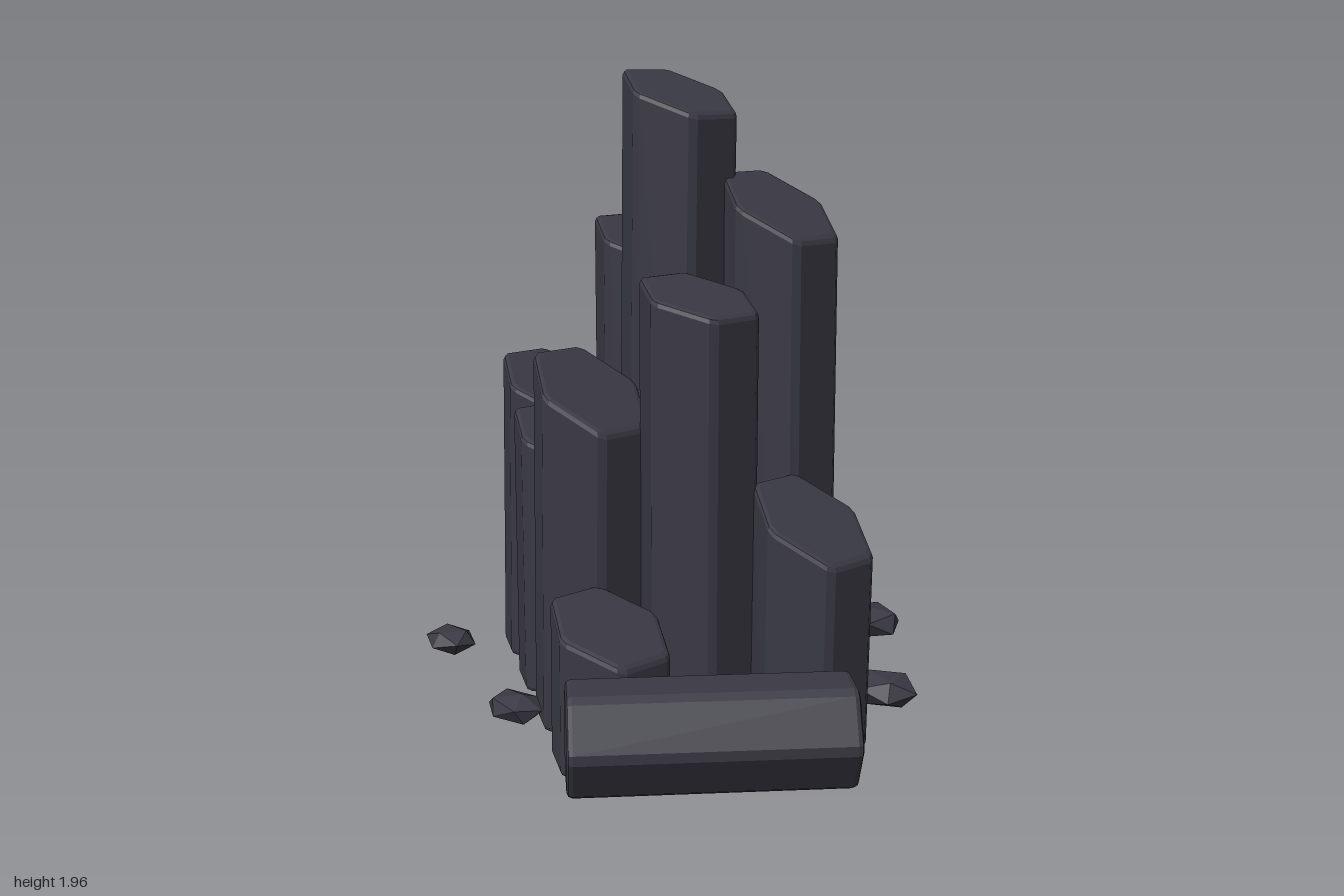
import * as THREE from 'three';

const BEVEL = 0.016;

// Hexagon with flats facing +-x and trimmed corners
function hexShape(apothem, trim) {
  const radius = apothem / Math.cos(Math.PI / 6);
  const corner = (i) => {
    const a = Math.PI / 6 + (i * Math.PI) / 3;
    return new THREE.Vector2(Math.cos(a) * radius, Math.sin(a) * radius);
  };
  const points = [];
  for (let i = 0; i < 6; i++) {
    const c = corner(i);
    points.push(c.clone().lerp(corner(i - 1), trim / radius));
    points.push(c.clone().lerp(corner(i + 1), trim / radius));
  }
  return new THREE.Shape(points);
}

// Upright bevelled hexagonal prism; the top is sloped along x and drifts by the lean
function columnGeometry(apothem, height, slope = 0, leanX = 0, leanZ = 0) {
  const geo = new THREE.ExtrudeGeometry(hexShape(apothem, 0.016), {
    depth: height - 2 * BEVEL,
    bevelEnabled: true,
    bevelSize: BEVEL,
    bevelThickness: BEVEL,
    bevelOffset: -BEVEL,
    bevelSegments: 2,
  });
  geo.rotateX(-Math.PI / 2);
  geo.translate(0, BEVEL, 0);
  const p = geo.attributes.position;
  for (let i = 0; i < p.count; i++) {
    const x = p.getX(i), y = p.getY(i), z = p.getZ(i);
    const t = y / height;
    p.setXYZ(i, x + leanX * t, t > 0.5 ? y + slope * x : y, z + leanZ * t);
  }
  geo.computeVertexNormals();
  return geo;
}

export function createModel() {
  const model = new THREE.Group();
  model.name = 'basaltColumns';
  const basalt = new THREE.MeshStandardMaterial({ color: 0x3a3944 });
  basalt.name = 'dark basalt';

  const add = (geo, name, x, y, z) => {
    const mesh = new THREE.Mesh(geo, basalt);
    mesh.name = name;
    mesh.position.set(x, y, z);
    model.add(mesh);
    return mesh;
  };

  // Standing columns: x, z, height at centre, top slope, lean x, lean z
  const columns = [
    [-0.455, -0.645, 0.45, -0.6, 0.005, -0.005],
    [-0.157, -0.478, 1.22, -0.42, 0.005, -0.005],
    [-0.453, -0.306, 1.43, -0.4, -0.01, -0.005],
    [0.14, -0.302, 1.57, -0.6, 0.003, 0.008],
    [-0.757, -0.135, 0.94, -0.52, 0.02, 0],
    [-0.155, -0.135, 1.9, -0.42, 0.02, -0.01],
    [0.43, -0.133, 0.69, -0.62, 0.014, 0.004],
    [-0.457, 0.04, 0.835, -0.42, 0.008, 0.008],
    [0.14, 0.04, 1.33, -0.3, 0.012, 0.01],
    [-0.157, 0.21, 1.035, -0.66, 0.012, -0.003],
    [0.138, 0.388, 0.41, -0.44, 0, -0.003],
  ];
  columns.forEach(([x, z, h, slope, lx, lz], i) =>
    add(columnGeometry(0.158, h, slope, lx, lz), `column${i + 1}`, x, 0, z));

  // Fallen column lying on a flat side
  const length = 0.76;
  const fallenGeo = columnGeometry(0.138, length);
  fallenGeo.translate(0, -length / 2, 0);
  const fallen = add(fallenGeo, 'fallenColumn', 0.645, 0.263, 0.48);
  const axis = new THREE.Vector3(0.62, 0, -0.785).normalize();
  const up = new THREE.Vector3(0, 1, 0);
  fallen.quaternion.setFromRotationMatrix(
    new THREE.Matrix4().makeBasis(up, axis, new THREE.Vector3().crossVectors(up, axis)));

  // Loose flattened stones: x, y, z, half sizes x, y, z, turn
  const rocks = [
    [-0.53, 0.15, -0.735, 0.105, 0.055, 0.095, 0.4],
    [0.115, 0.155, -0.77, 0.13, 0.058, 0.115, 1.1],
    [0.56, 0.15, -0.335, 0.108, 0.055, 0.095, 0.2],
    [-0.91, 0.15, -0.23, 0.094, 0.055, 0.1, 0.8],
    [0.465, 0.15, 0.25, 0.112, 0.055, 0.095, 0.1],
    [-0.7, 0.145, 0.34, 0.09, 0.045, 0.08, 2.7],
    [-0.095, 0.145, 0.55, 0.102, 0.045, 0.077, 0.3],
  ];
  rocks.forEach(([x, y, z, sx, sy, sz, turn], i) => {
    const geo = new THREE.IcosahedronGeometry(1, 0);
    geo.rotateZ(0.5 + i * 0.3);
    geo.rotateY(turn);
    geo.scale(sx, sy, sz);
    geo.computeVertexNormals();
    add(geo, `rock${i + 1}`, x, y, z);
  });

  return model;
}
